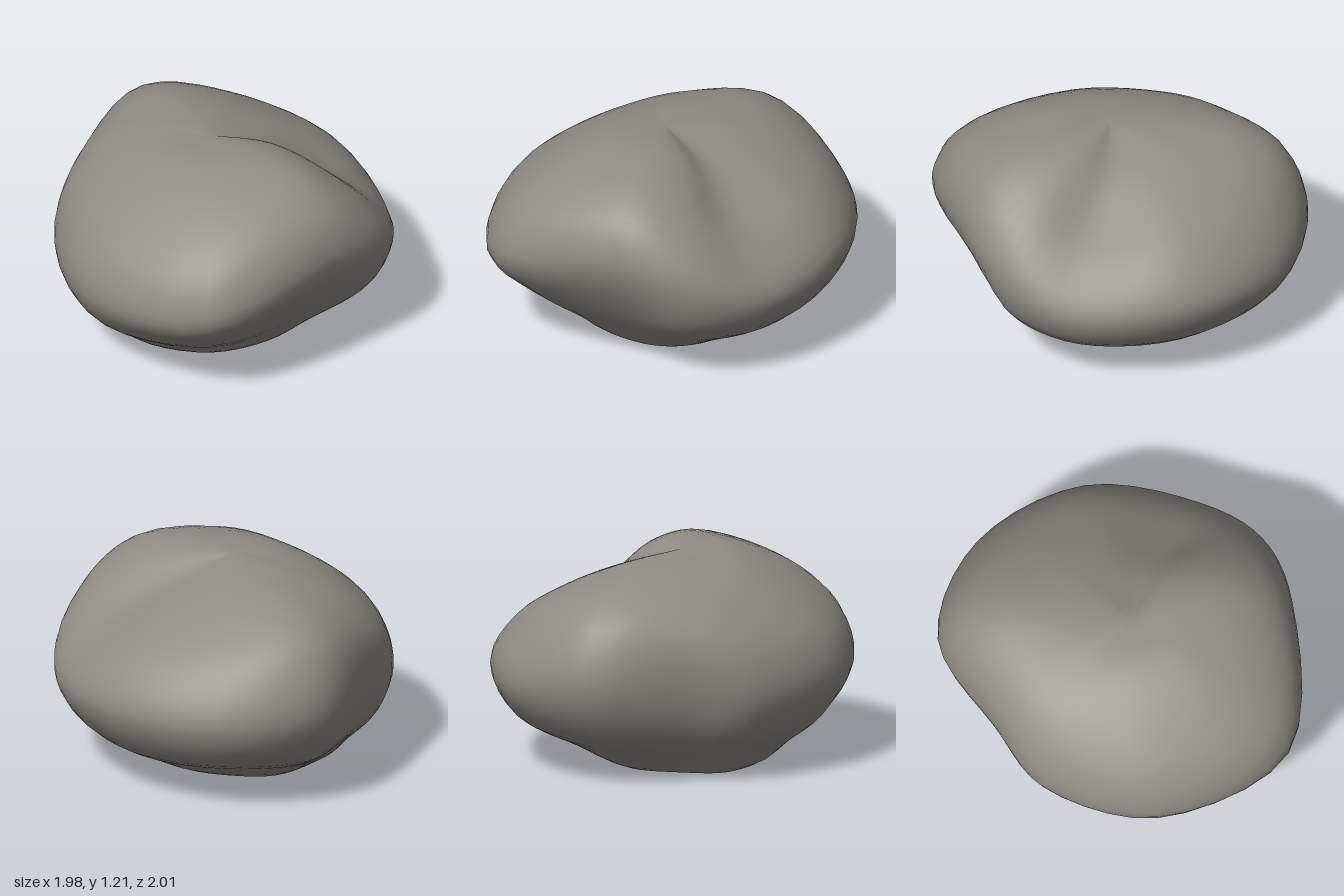
import * as THREE from 'three';

const BOTTOM = new THREE.Vector3(0.03, 0, 0.08);
const TOP = new THREE.Vector3(0.05, 1.188, 0.06);
const SIDES = 50;
const RINGS = 32;

// Upright profiles around the boulder: angle from +x toward +z,
// then [radius, height] from the foot to the crown.
const PROFILES = [
  [0, [[0.47, 0.01], [0.62, 0.15], [0.81, 0.37], [0.985, 0.73], [0.92, 0.98], [0.71, 1.14], [0.39, 1.205]]],
  [45, [[0.47, 0], [0.65, 0.13], [0.93, 0.34], [1.125, 0.56], [1.06, 0.81], [0.81, 1.03], [0.42, 1.185]]],
  [90, [[0.53, 0.005], [0.69, 0.125], [0.88, 0.28], [1.0, 0.51], [0.93, 0.76], [0.68, 0.99], [0.36, 1.155]]],
  [132, [[0.53, 0.005], [0.67, 0.13], [0.82, 0.28], [0.9, 0.52], [0.84, 0.77], [0.64, 0.99], [0.33, 1.14]]],
  [160, [[0.45, 0.01], [0.59, 0.12], [0.75, 0.28], [0.84, 0.55], [0.82, 0.83], [0.66, 1.02], [0.34, 1.15]]],
  [195, [[0.41, 0.01], [0.63, 0.13], [0.89, 0.29], [1.03, 0.59], [0.92, 0.93], [0.68, 1.09], [0.34, 1.155]]],
  [230, [[0.34, 0.01], [0.61, 0.14], [0.92, 0.31], [1.035, 0.55], [0.9, 0.83], [0.66, 1.01], [0.33, 1.13]]],
  [270, [[0.33, 0.005], [0.6, 0.13], [0.87, 0.29], [1.0, 0.56], [0.86, 0.79], [0.6, 0.96], [0.3, 1.09]]],
  [310, [[0.37, 0.005], [0.63, 0.13], [0.91, 0.31], [1.0, 0.53], [0.85, 0.74], [0.58, 0.92], [0.3, 1.085]]],
  [335, [[0.43, 0.005], [0.66, 0.14], [0.94, 0.38], [1.015, 0.67], [0.91, 0.88], [0.66, 1.06], [0.34, 1.165]]],
];

// Closed smooth outlines, one for each level of the profiles
function outlines() {
  return PROFILES[0][1].map((_, level) => new THREE.CatmullRomCurve3(
    PROFILES.map(([degrees, points]) => {
      const a = THREE.MathUtils.degToRad(degrees);
      const [r, y] = points[level];
      return new THREE.Vector3(r * Math.cos(a), y, r * Math.sin(a));
    }), true, 'centripetal'));
}

// Skin: smooth meridians through the outlines, closed at both poles
function boulderGeometry() {
  const levels = outlines();
  const positions = [];
  const index = [];
  for (let s = 0; s < SIDES; s++) {
    const meridian = new THREE.CatmullRomCurve3(
      [BOTTOM, ...levels.map((c) => c.getPoint(s / SIDES)), TOP], false, 'centripetal');
    for (let k = 1; k < RINGS; k++) {
      const p = meridian.getPoint(k / RINGS);
      positions.push(p.x, Math.max(0, p.y), p.z);
    }
  }
  const bottom = positions.length / 3;
  positions.push(...BOTTOM.toArray(), ...TOP.toArray());

  const at = (s, k) => (s % SIDES) * (RINGS - 1) + k;
  for (let s = 0; s < SIDES; s++) {
    index.push(bottom, at(s, 0), at(s + 1, 0));
    for (let k = 0; k < RINGS - 2; k++) {
      index.push(at(s, k), at(s, k + 1), at(s + 1, k));
      index.push(at(s + 1, k), at(s, k + 1), at(s + 1, k + 1));
    }
    index.push(at(s, RINGS - 2), bottom + 1, at(s + 1, RINGS - 2));
  }

  const geometry = new THREE.BufferGeometry();
  geometry.setAttribute('position', new THREE.Float32BufferAttribute(positions, 3));
  geometry.setIndex(index);
  geometry.computeVertexNormals();
  return geometry;
}

export function createModel() {
  const group = new THREE.Group();
  group.name = 'rock';
  const boulder = new THREE.Mesh(
    boulderGeometry(), new THREE.MeshStandardMaterial({ color: 0x8f8c86 }));
  boulder.name = 'boulder';
  group.add(boulder);
  return group;
}
